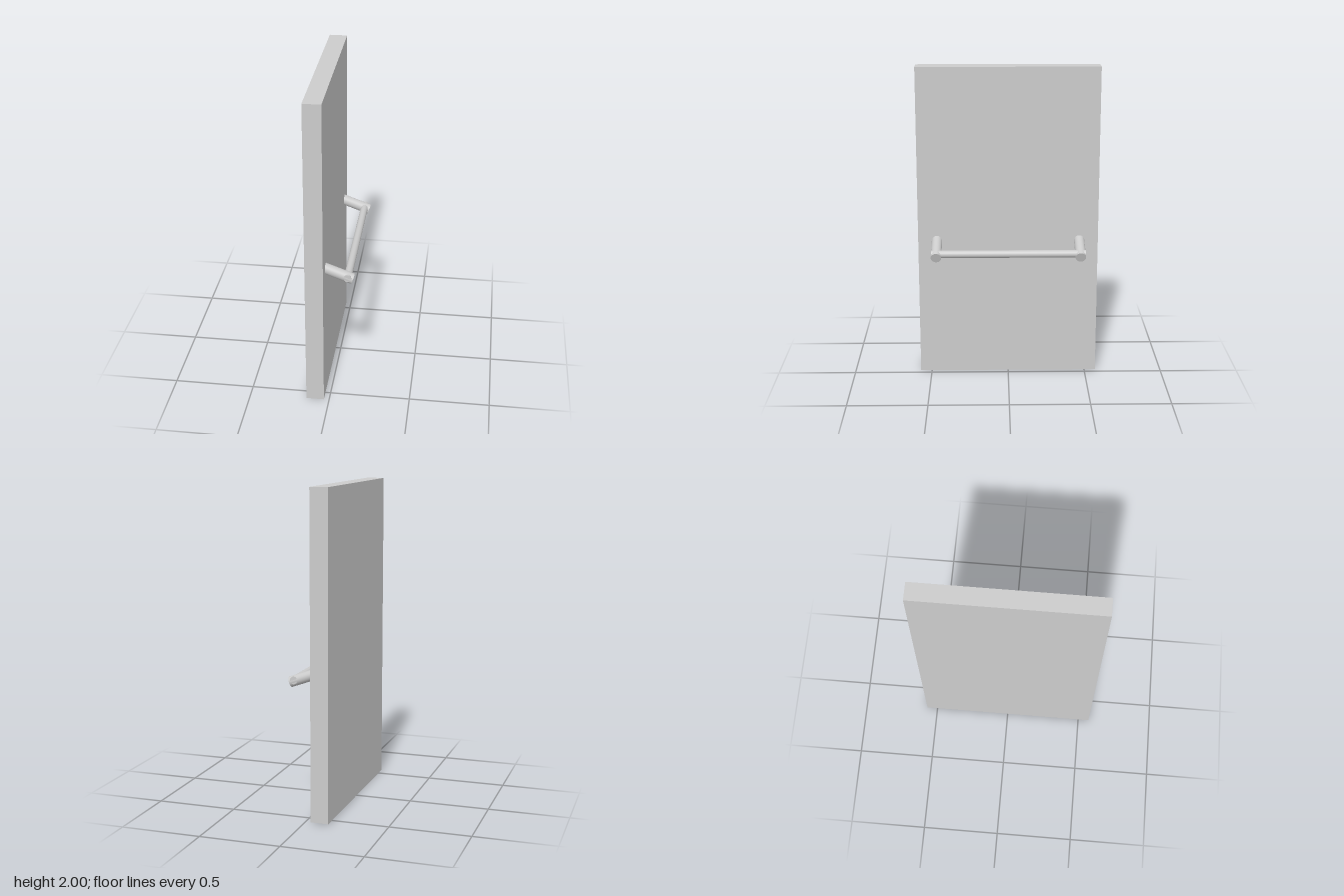
import * as THREE from 'three';

export function createModel() {
  const group = new THREE.Group();
  const material = new THREE.MeshStandardMaterial({ color: 0xcccccc });

  const add = (name, geometry, x, y, z) => {
    const mesh = new THREE.Mesh(geometry, material);
    mesh.name = name;
    mesh.position.set(x, y, z);
    group.add(mesh);
    return mesh;
  };

  // Upright door slab
  add('doorPanel', new THREE.BoxGeometry(0.111, 2, 1.144), -0.0885, 1, 0);

  // Two round arms, tilted down away from the door and rooted inside it
  const tilt = THREE.MathUtils.degToRad(20);
  const armLength = 0.205;
  const tip = { x: 0.132, y: 0.829 };
  for (const side of [1, -1]) {
    const arm = add(
      side > 0 ? 'frontArm' : 'backArm',
      new THREE.CylinderGeometry(0.033, 0.033, armLength, 40),
      tip.x - Math.cos(tilt) * armLength / 2,
      tip.y + Math.sin(tilt) * armLength / 2,
      side * 0.453
    );
    arm.rotation.z = -Math.PI / 2 - tilt;
  }

  // Grip bar running through both arms
  const bar = add('gripBar', new THREE.CylinderGeometry(0.0235, 0.0235, 0.97, 40), 0.103, 0.845, 0);
  bar.rotation.x = Math.PI / 2;

  return group;
}
